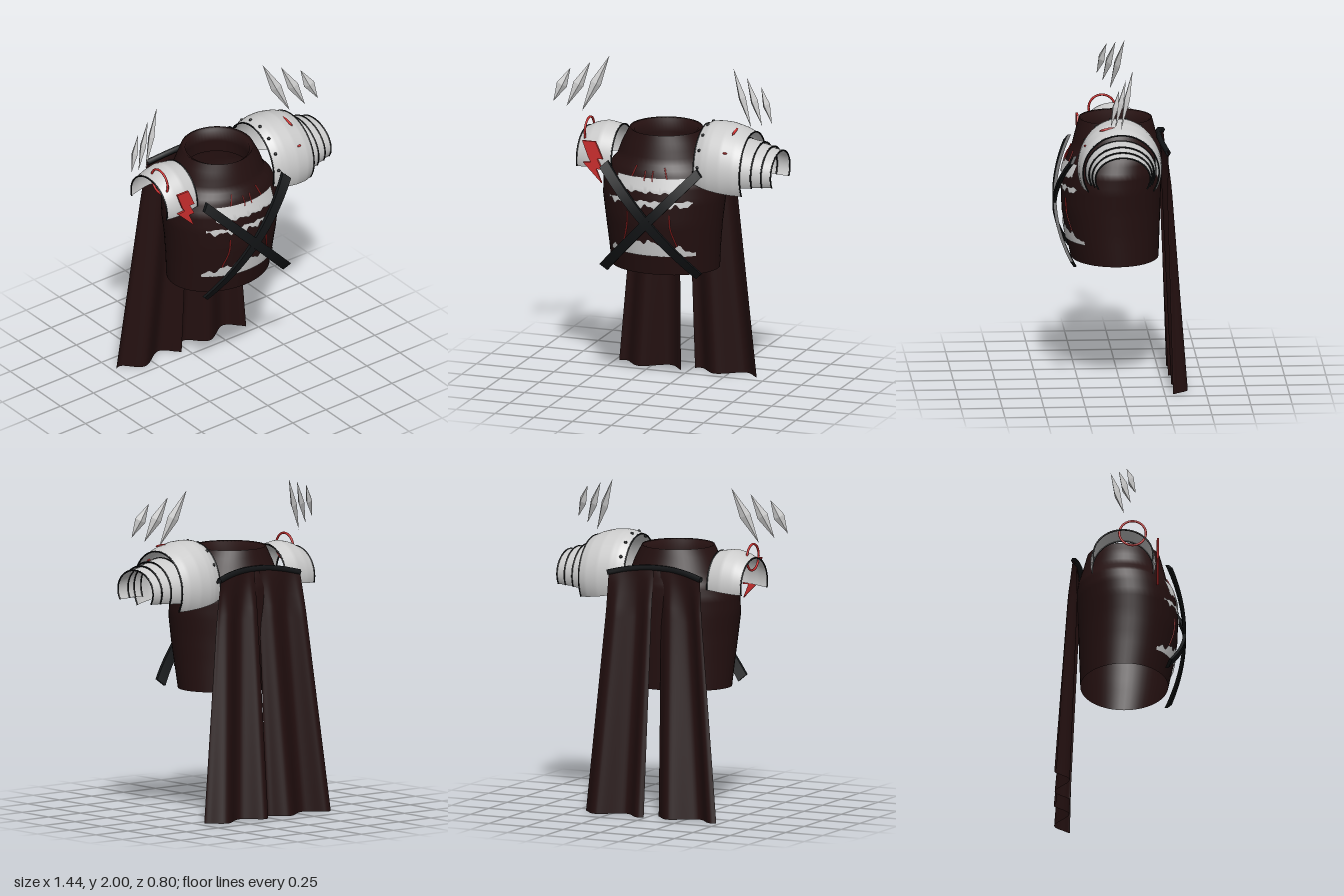
import * as THREE from 'three';
import { ParametricGeometry } from 'three/addons/geometries/ParametricGeometry.js';

const mat = (color, flatShading = false) =>
  new THREE.MeshStandardMaterial({ color, flatShading, side: THREE.DoubleSide });
const CLOTH = mat(0x241010), STRAP = mat(0x121416), RED = mat(0xcc2e2e), GREY = mat(0xcccccc);
const FACETED = mat(0xcccccc, true);
const V = (x, y, z) => new THREE.Vector3(x, y, z);

// linear lookup in rows sorted by their first entry
function sample(rows, k) {
  let i = 0;
  while (i < rows.length - 2 && k > rows[i + 1][0]) i++;
  const a = rows[i], b = rows[i + 1];
  const t = THREE.MathUtils.clamp((k - a[0]) / (b[0] - a[0]), 0, 1);
  return a.map((v, j) => v + (b[j] - v) * t);
}

// torso rings: height, half width, front z, back z
const TORSO = [
  [0.76, 0.335, 0.29, -0.24], [0.90, 0.345, 0.32, -0.245], [1.05, 0.36, 0.345, -0.25],
  [1.20, 0.38, 0.35, -0.255], [1.30, 0.38, 0.34, -0.26], [1.38, 0.35, 0.315, -0.26],
  [1.44, 0.30, 0.285, -0.25], [1.52, 0.27, 0.265, -0.225], [1.615, 0.22, 0.24, -0.2],
];
const CX = -0.018;

// z of the torso's front surface at x, y
function frontZ(x, y) {
  const [, rx, zf, zb] = sample(TORSO, y);
  const s = Math.min(0.99, Math.abs(x - CX) / rx);
  return (zf + zb) / 2 + (zf - zb) / 2 * Math.sqrt(1 - s * s);
}

export function createModel() {
  const model = new THREE.Group();
  const add = (name, geo, material, parent = model) => {
    const m = new THREE.Mesh(geo, material);
    m.name = name;
    parent.add(m);
    return m;
  };
  const surface = (name, fn, nu, nv, material, parent) =>
    add(name, new ParametricGeometry(fn, nu, nv), material, parent);
  const tube = (name, pts, r, material, parent) =>
    add(name, new THREE.TubeGeometry(new THREE.CatmullRomCurve3(pts), 32, r, 6), material, parent);

  // tunic shell, open at the bottom and the neck, with a lip turned in at the neck
  const rings = [...TORSO, [1.6, 0.19, 0.22, -0.18], [1.45, 0.2, 0.225, -0.185]];
  const last = rings.length - 1;
  surface('tunic', (u, v, p) => {
    const i = Math.min(last - 1, Math.floor(v * last)), f = v * last - i;
    const [y, rx, zf, zb] = rings[i].map((a, j) => a + (rings[i + 1][j] - a) * f);
    const a = u * Math.PI * 2;
    p.set(CX + rx * Math.sin(a), y, (zf + zb) / 2 + (zf - zb) / 2 * Math.cos(a));
  }, 56, last * 2, CLOTH);

  // light torn patches lying on the front
  const jag = (x, k) => 0.011 * Math.sin(x * 71 + k) + 0.007 * Math.sin(x * 133 + 2 * k);
  const patch = (x0, x1, low, high) => surface('tornPatch', (u, v, p) => {
    const x = x0 + (x1 - x0) * u;
    const lo = low(x), y = lo + Math.max(0.002, high(x) - lo) * v;
    p.set(x, y, frontZ(x, y) + 0.008);
  }, 70, 4, GREY);
  patch(-0.235, 0.2, x => 1.283 + jag(x, 1) * 0.5, () => 1.37);
  patch(-0.29, 0.25, x => 1.195 + Math.abs(x) * 0.04 + jag(x, 3), x => 1.232 + jag(x, 5) * 0.4);
  patch(-0.29, 0.25, () => 0.882, x => 0.975 - 1.0 * (x - CX) ** 2 + jag(x, 2));

  // red scratches, mirrored about the middle of the tunic
  for (const s of [-1, 1]) {
    const line = pts => tube('scratch', pts.map(([x, y]) =>
      V(CX + s * x, y, frontZ(x, y) + 0.008)), 0.004, RED);
    line([[0.09, 1.43], [0.115, 1.36], [0.14, 1.29]]);
    line([[0.135, 1.15], [0.14, 1.06], [0.17, 0.95]]);
    line([[0.025, 1.41], [0.024, 1.38], [0.026, 1.35]]);
  }

  // crossed chest straps, bowed away from the body
  for (const s of [-1, 1]) {
    const g = new THREE.BoxGeometry(0.89, 0.058, 0.02, 24, 1, 1);
    g.rotateZ(s * 0.81);
    g.translate(-0.01, 1.1, 0);
    const p = g.attributes.position;
    for (let i = 0; i < p.count; i++) {
      const t = (p.getY(i) - 1.1) / 0.33;
      p.setZ(i, p.getZ(i) + 0.388 - 0.1 * t * t);
    }
    g.computeVertexNormals();
    add('chestStrap', g, STRAP);
  }

  // cord that carries the cape
  const cordZ = x => -0.24 - 0.4 * x * x;
  const cordY = x => 1.505 - 0.45 * x * x;
  tube('capeCord', [-0.32, -0.2, -0.08, 0.08, 0.2, 0.31].map(x => V(x, cordY(x), cordZ(x))), 0.018, STRAP);

  // two pleated cape halves: folds grow towards the hem
  const hem = new THREE.SplineCurve([[0, -0.385], [0.05, -0.395], [0.16, -0.305], [0.32, -0.395],
    [0.41, -0.325], [0.43, -0.3]].map(([x, z]) => new THREE.Vector2(x, z)));
  for (const [name, t0, t1, b0] of [['capeRight', -0.315, -0.03, -0.475], ['capeLeft', 0.012, 0.3, 0.014]]) {
    surface(name, (u, v, p) => {
      const h = hem.getPoint(u), tx = t0 + (t1 - t0) * (h.x / 0.43);
      const fold = (h.y + 0.35) * 0.35;
      p.set(tx + (b0 + h.x - tx) * v, cordY(tx) * (1 - v),
        (cordZ(tx) - 0.008 + fold * Math.min(1, v * 6)) * (1 - v) + h.y * v);
    }, 48, 20, CLOTH);
  }

  // arched armour plate along x; rows: x, height radius, depth radius, drop angle below the sides
  const CY = 1.4;
  const arc = (row, cz, t) => {
    const a = -row[3] + t * (Math.PI + 2 * row[3]);
    return V(row[0], CY + row[1] * Math.sin(a), cz + row[2] * Math.cos(a));
  };
  const plate = (name, rows, cz, parent) => {
    const a = rows[0][0], b = rows[rows.length - 1][0];
    surface(name, (u, v, p) => p.copy(arc(sample(rows, a + (b - a) * v), cz, u)),
      40, (rows.length - 1) * 3, GREY, parent);
    for (const row of [rows[0], rows[rows.length - 1]])
      tube(name + 'Rim', Array.from({ length: 17 }, (_, i) => arc(row, cz, i / 16)), 0.005, STRAP, parent);
  };

  // large left pauldron with three overlapping arm plates
  const big = new THREE.Group();
  big.name = 'leftPauldron';
  model.add(big);
  const dome = [[0.24, 0.255, 0.225, 0.26], [0.28, 0.274, 0.24, 0.29], [0.33, 0.28, 0.25, 0.33],
    [0.40, 0.276, 0.255, 0.38], [0.48, 0.255, 0.248, 0.46], [0.54, 0.228, 0.23, 0.55]];
  plate('shoulderDome', dome, 0.02, big);
  plate('armPlate', [[0.5, 0.185, 0.212, 0.4], [0.6, 0.17, 0.198, 0.4]], 0.02, big);
  plate('armPlate', [[0.57, 0.165, 0.192, 0.4], [0.66, 0.15, 0.182, 0.43]], 0.02, big);
  plate('armPlate', [[0.63, 0.145, 0.177, 0.45], [0.717, 0.13, 0.166, 0.5]], 0.02, big);
  for (let i = 0; i < 8; i++) {
    add('rivet', new THREE.SphereGeometry(0.01, 10, 8), STRAP, big)
      .position.copy(arc(sample(dome, 0.27), 0.02, 0.12 + i * 0.76 / 7));
  }

  // red cuts on the dome
  for (const [x, t, len] of [[0.455, 0.42, 0.05], [0.44, 0.25, 0.014]]) {
    const c = add('cut', new THREE.SphereGeometry(1, 12, 8), RED, big);
    c.scale.set(0.008, 0.008, len);
    c.position.copy(arc(sample(dome, x), 0.02, t));
    if (t > 0.4) c.rotation.x = 0.2;
    else c.scale.set(len, 0.006, 0.008);
  }

  // small right pauldron
  const small = new THREE.Group();
  small.name = 'rightPauldron';
  model.add(small);
  plate('shoulderPlate', [[-0.53, 0.165, 0.18, 0.24], [-0.47, 0.195, 0.192, 0.18],
    [-0.40, 0.212, 0.198, 0.13], [-0.305, 0.195, 0.185, 0.1]], 0.015, small);

  // red ring and bolt-shaped charm on the small pauldron
  const ring = add('redRing', new THREE.TorusGeometry(0.08, 0.007, 8, 36), RED, small);
  ring.rotation.y = Math.PI / 2;
  ring.position.set(-0.493, 1.56, 0.072);
  const bolt = new THREE.Shape([[-0.48, 1.535], [-0.395, 1.535], [-0.35, 1.43], [-0.385, 1.43],
    [-0.352, 1.365], [-0.39, 1.365], [-0.355, 1.28], [-0.475, 1.4], [-0.425, 1.405], [-0.44, 1.43]]
    .map(([x, y]) => new THREE.Vector2(x, y)));
  add('boltCharm', new THREE.ExtrudeGeometry(bolt, { depth: 0.014, bevelEnabled: false }), RED, small)
    .position.z = 0.218;

  // floating faceted shards over both shoulders: top and bottom points
  const shards = [[V(0.385, 1.995, -0.06), V(0.53, 1.66, 0.02)], [V(0.49, 1.96, -0.012), V(0.615, 1.69, 0.06)],
    [V(0.6, 1.925, 0.035), V(0.69, 1.72, 0.09)]];
  for (const s of [-1, 1]) for (const [top, low] of shards) {
    const a = top.clone(), b = low.clone();
    a.x = s * a.x + (s < 0 ? -0.03 : 0);
    b.x = s * b.x + (s < 0 ? -0.03 : 0);
    const up = a.clone().sub(b), len = up.length();
    up.normalize();
    const side = V(s * 0.88, 0, 0.47).addScaledVector(up, -up.dot(V(s * 0.88, 0, 0.47))).normalize();
    const shard = add('shard', new THREE.OctahedronGeometry(1), FACETED);
    shard.quaternion.setFromRotationMatrix(new THREE.Matrix4().makeBasis(side, up, side.clone().cross(up)));
    shard.scale.set(0.034, len / 2, 0.02);
    shard.position.copy(a).add(b).multiplyScalar(0.5);
  }
  return model;
}
